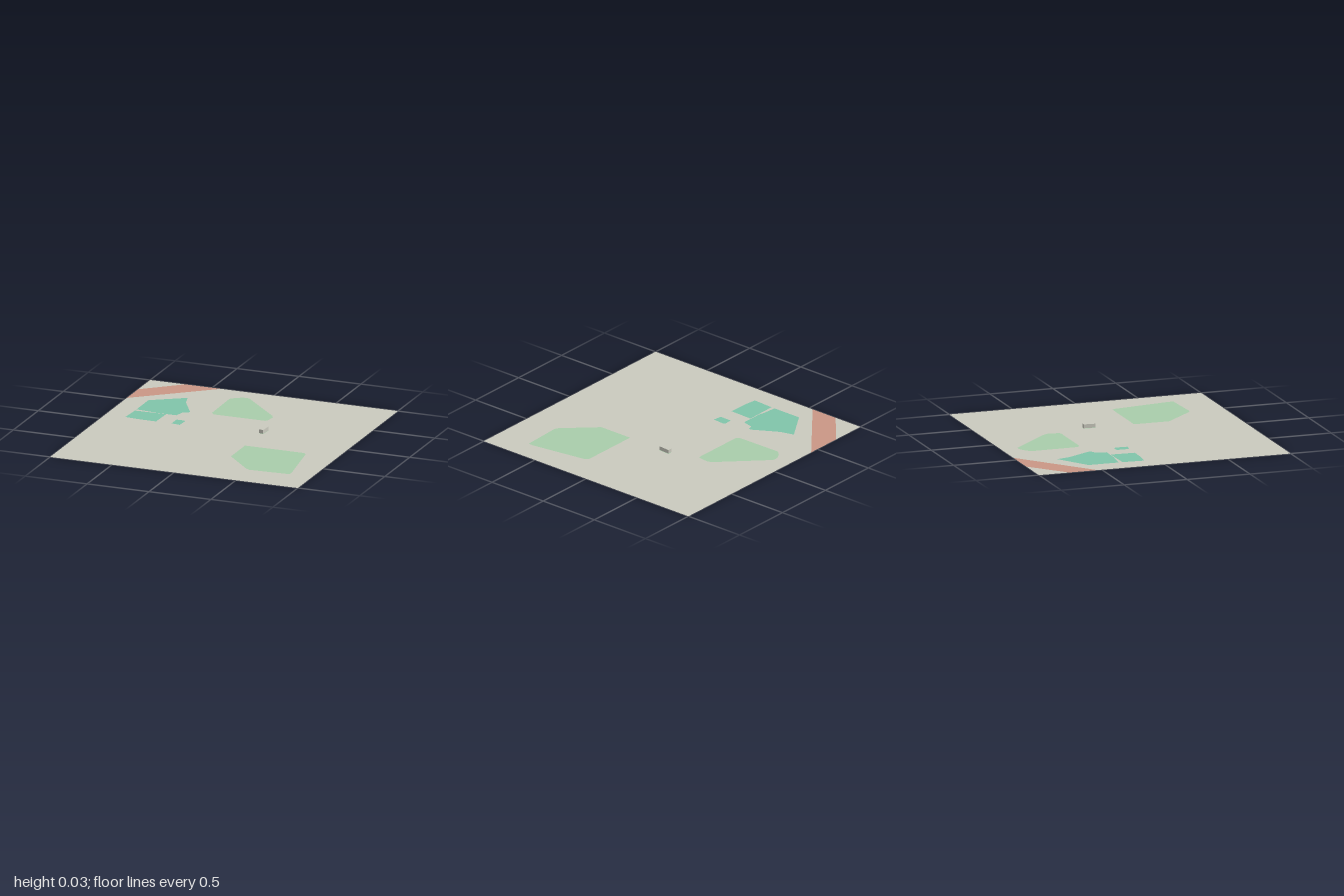
import * as THREE from 'three';

const paint = (name, color) => {
  const m = new THREE.MeshStandardMaterial({ color, side: THREE.DoubleSide });
  m.name = name;
  return m;
};

// Plan outlines are [x, z] pairs; shapes are drawn with y = -z, then laid flat.
const toPoints = (outline) => outline.map(([x, z]) => new THREE.Vector2(x, -z));
const toShape = (outline) => new THREE.Shape(toPoints(outline));

function flat(name, shape, material) {
  const mesh = new THREE.Mesh(new THREE.ShapeGeometry(shape).rotateX(-Math.PI / 2), material);
  mesh.name = name;
  return mesh;
}

export function createModel() {
  const ground = paint('ground', 0xcacabe);
  const lawn = paint('lawn green', 0xa9cdab);
  const court = paint('court teal', 0x80c5aa);
  const road = paint('road red', 0xca9785);
  const model = new THREE.Group();
  model.name = 'mapTile';

  const footprint = [[0.245, -0.2], [0.28, -0.2], [0.273, -0.105], [0.24, -0.11]];

  // Coloured areas, set into the ground so they show from both sides
  const patches = [
    ['backLawn', lawn, [[-0.28, -0.8], [-0.25, -0.835], [-0.2, -0.865], [-0.175, -0.87], [-0.145, -0.865],
      [0.175, -0.54], [0.19, -0.505], [0.18, -0.42], [0.165, -0.41], [-0.25, -0.41], [-0.275, -0.44]]],
    ['frontLawn', lawn, [[0.25, 0.2], [0.73, 0.2], [0.75, 0.225], [0.82, 0.68], [0.815, 0.715],
      [0.5, 0.73], [0.47, 0.715], [0.25, 0.48]]],
    ['largeCourt', court, [[-0.83, -0.545], [-0.58, -0.705], [-0.575, -0.695], [-0.55, -0.6], [-0.435, -0.4],
      [-0.44, -0.385], [-0.48, -0.37], [-0.5, -0.285], [-0.67, -0.285], [-0.72, -0.295], [-0.83, -0.305]]],
    ['lowerCourt', court, [[-0.83, -0.275], [-0.58, -0.28], [-0.585, -0.09], [-0.74, -0.093], [-0.84, -0.105]]],
    ['smallCourt', court, [[-0.46, -0.19], [-0.4, -0.19], [-0.385, -0.175], [-0.39, -0.08], [-0.46, -0.09]]],
    ['buildingPlot', lawn, footprint],
  ];

  // Ground sheet with an opening for each area
  const sheet = toShape([[-1, -0.535], [-0.43, -1], [1, -1], [1, 1], [-1, 1]]);
  for (const [name, material, outline] of patches) {
    sheet.holes.push(new THREE.Path(toPoints(outline)));
    model.add(flat(name, toShape(outline), material));
  }
  model.add(flat('groundSheet', sheet, ground));

  // Road cutting off the back corner
  model.add(flat('road', toShape([[-1, -0.76], [-0.72, -1], [-0.43, -1], [-1, -0.535]]), road));
  model.add(flat('groundCorner', toShape([[-1, -1], [-0.72, -1], [-1, -0.76]]), ground));

  // Small building
  const block = new THREE.ExtrudeGeometry(toShape(footprint), { depth: 0.03, bevelEnabled: false });
  block.rotateX(-Math.PI / 2).translate(0, 0.003, 0);
  const building = new THREE.Mesh(block, ground);
  building.name = 'building';
  model.add(building);

  return model;
}
